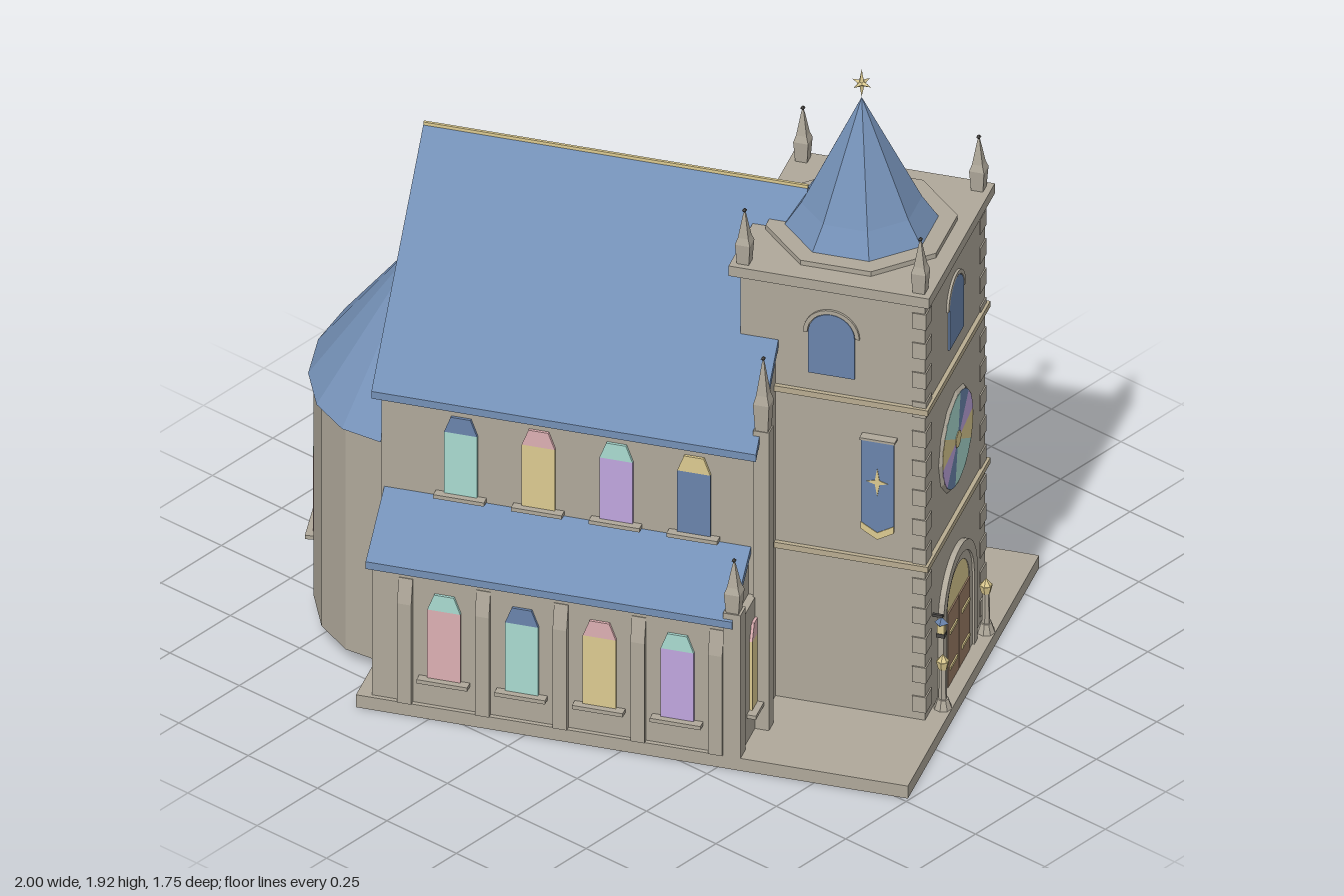
import * as THREE from 'three';

const mat = (name, color) => {
  const m = new THREE.MeshStandardMaterial({ color });
  m.name = name;
  return m;
};

export function createModel() {
  const stone = mat('stone', 0xafa89a), trim = mat('paleStone', 0xb8ac90), slate = mat('slateBlue', 0x7490b6);
  const pink = mat('pinkGlass', 0xdcafb2), teal = mat('tealGlass', 0xa9dad0), sand = mat('goldenSand', 0xdcca90);
  const purple = mat('purpleGlass', 0xbfa6de), blue = mat('blueGlass', 0x6a84ac);
  const wood = mat('doorWood', 0x9a7c65), iron = mat('darkIron', 0x4a4845);
  const headOf = new Map([[pink, teal], [teal, blue], [sand, pink], [purple, teal], [blue, sand]]);

  const model = new THREE.Group();
  model.name = 'church';
  // Nave axis runs along local x, turned about the vertical
  const church = new THREE.Group();
  church.name = 'churchBody';
  church.rotation.y = THREE.MathUtils.degToRad(24);
  church.position.set(0.004, 0, 0.011);
  model.add(church);

  const add = (parent, name, geo, m, x = 0, y = 0, z = 0) => {
    const mesh = new THREE.Mesh(geo, m);
    mesh.name = name;
    mesh.position.set(x, y, z);
    parent.add(mesh);
    return mesh;
  };
  const flat = (g) => {
    const f = g.index ? g.toNonIndexed() : g;
    f.computeVertexNormals();
    return f;
  };
  // Box from minimum and maximum corners
  const block = (parent, name, m, x0, x1, y0, y1, z0, z1) =>
    add(parent, name, new THREE.BoxGeometry(x1 - x0, y1 - y0, z1 - z0), m, (x0 + x1) / 2, (y0 + y1) / 2, (z0 + z1) / 2);
  const poly = (pts) => new THREE.Shape(pts.map(([x, y]) => new THREE.Vector2(x, y)));
  const extrude = (shape, depth) => new THREE.ExtrudeGeometry(shape, { depth, bevelEnabled: false, curveSegments: 8 });
  // Cross-section of [z, y] points run along x
  const prism = (name, m, pts, x0, x1) => {
    const g = extrude(poly(pts.map(([z, y]) => [-z, y])), x1 - x0);
    g.rotateY(Math.PI / 2);
    return add(church, name, g, m, x0);
  };
  const panel = (name, x, y, z, turn) => {
    const g = new THREE.Group();
    g.name = name;
    g.position.set(x, y, z);
    g.rotation.y = turn;
    church.add(g);
    return g;
  };
  // Round-headed outline: half width r, springing height h
  const archInto = (p, r, h) => {
    p.moveTo(-r, 0);
    p.lineTo(r, 0);
    p.lineTo(r, h);
    p.absarc(0, h, r, 0, Math.PI, false);
    p.lineTo(-r, 0);
    return p;
  };
  const archFrame = (r, h, t, depth) => {
    const s = archInto(new THREE.Shape(), r + t, h);
    s.holes.push(archInto(new THREE.Path(), r, h));
    return extrude(s, depth);
  };

  // Stained window with a cut-corner head and a sill
  function glassWindow(x, y, z, turn, h, glass) {
    const g = panel('window', x, y, z, turn), r = 0.047, k = h - 0.05;
    add(g, 'windowGlass', extrude(poly([[-r, 0], [r, 0], [r, k], [-r, k]]), 0.008), glass);
    add(g, 'windowHead', extrude(poly([[-r, k], [r, k], [0.028, h], [-0.028, h]]), 0.008), headOf.get(glass));
    block(g, 'windowSill', stone, -0.072, 0.072, -0.012, 0, 0, 0.026);
  }

  function pinnacle(x, y, z, h, r = 0.03) {
    const g = panel('pinnacle', x, y, z, Math.PI / 4);
    const profile = [[0, 0], [r * 0.8, 0], [r, h * 0.38], [r * 0.7, h * 0.5], [0.005, h * 0.93], [0, h]];
    add(g, 'pinnacleSpike', flat(new THREE.LatheGeometry(profile.map(([a, b]) => new THREE.Vector2(a, b)), 4)), stone);
    add(g, 'pinnacleBall', new THREE.OctahedronGeometry(0.008), iron, 0, h, 0);
  }

  const starShape = (rx, ry) => poly([[rx, 0], [rx * 0.22, rx * 0.22], [0, ry], [-rx * 0.22, rx * 0.22],
    [-rx, 0], [-rx * 0.22, -rx * 0.22], [0, -ry], [rx * 0.22, -rx * 0.22]]);

  // Ground slab
  block(church, 'base', stone, -0.756, 0.813, 0, 0.04, -0.608, 0.608);

  // Nave, its closed front gable and the roof, open at the apse end
  block(church, 'nave', stone, -0.735, 0.335, 0.04, 0.95, -0.44, 0.44);
  prism('naveFrontGable', stone, [[-0.44, 0.94], [0.44, 0.94], [0.44, 0.965], [0, 1.485], [-0.44, 0.965]], 0.22, 0.335);
  prism('naveRoof', slate, [[-0.485, 0.945], [-0.485, 0.922], [0, 1.485], [0.485, 0.922], [0.485, 0.945], [0, 1.515]], -0.75, 0.343);
  block(church, 'ridgeCap', sand, -0.75, 0.343, 1.508, 1.52, -0.004, 0.004);

  // Apse: half of a sixteen-sided drum, flattened along the axis
  const halfRound = (name, m, top, h, rx, rz, y) => {
    const g = new THREE.CylinderGeometry(top, 1, h, 8, 1, false, Math.PI, Math.PI);
    g.scale(rx, 1, rz);
    add(church, name, flat(g), m, -0.735, y, 0);
  };
  halfRound('apseWall', stone, 1, 0.72, 0.3, 0.43, 0.4);
  halfRound('apseRoof', slate, 0, 0.41, 0.315, 0.447, 0.965);
  glassWindow(-1.024, 0.225, 0.082, -Math.PI / 2 + 0.138, 0.3, pink);

  // Aisles, windows and buttresses on both sides
  const aisleGlass = { 1: [pink, teal, sand, purple], [-1]: [teal, sand, pink, purple] };
  const upperGlass = { 1: [teal, sand, purple, blue], [-1]: [blue, pink, teal, sand] };
  for (const s of [1, -1]) {
    const turn = s > 0 ? 0 : Math.PI;
    const span = (a, b) => (s > 0 ? [a, b] : [-b, -a]);
    block(church, 'aisle', stone, -0.715, 0.33, 0.04, 0.463, ...span(0.4, 0.595));
    prism('aisleGable', stone, [[0.43 * s, 0.46], [0.592 * s, 0.46], [0.43 * s, 0.595]], -0.712, 0.308);
    prism('aisleRoof', slate, [[0.43 * s, 0.624], [0.613 * s, 0.478], [0.613 * s, 0.455], [0.43 * s, 0.6]], -0.727, 0.315);
    for (let i = 0; i < 4; i++) {
      const x = -0.508 + 0.221 * i;
      glassWindow(x, 0.13, 0.595 * s, turn, 0.27, aisleGlass[s][i]);
      glassWindow(x, 0.632, 0.44 * s, turn, 0.247, upperGlass[s][i]);
    }
    for (let i = 0; i < 5; i++) {
      const x = -0.618 + 0.221 * i;
      prism('buttress', stone, [[0.58 * s, 0.04], [0.612 * s, 0.04], [0.612 * s, 0.36], [0.597 * s, 0.435], [0.58 * s, 0.435]], x - 0.02, x + 0.02);
    }
    glassWindow(0.33, 0.13, 0.455 * s, Math.PI / 2, 0.27, s > 0 ? sand : pink);
    // Corner piers with spikes
    block(church, 'navePier', stone, 0.325, 0.37, 0.04, 1, ...span(0.41, 0.452));
    pinnacle(0.348, 1, 0.432 * s, 0.225, 0.032);
    block(church, 'aislePier', stone, 0.287, 0.337, 0.04, 0.5, ...span(0.56, 0.608));
    pinnacle(0.312, 0.5, 0.585 * s, 0.16, 0.032);
  }

  // Tower shaft, string courses and cornice
  const cx = 0.495;
  block(church, 'tower', stone, 0.235, 0.76, 0.04, 1.39, -0.277, 0.277);
  for (const y of [0.525, 1.03]) block(church, 'stringCourse', trim, 0.222, 0.772, y, y + 0.018, -0.29, 0.29);
  block(church, 'towerCornice', stone, 0.21, 0.78, 1.388, 1.42, -0.305, 0.305);
  for (const sx of [-1, 1]) for (const sz of [-1, 1]) pinnacle(cx + 0.25 * sx, 1.42, 0.27 * sz, 0.165);
  // Corner stones on the front edges
  for (const s of [-1, 1]) for (let y = 0.09; y < 1.36; y += 0.095)
    add(church, 'quoin', new THREE.BoxGeometry(0.04, 0.05, 0.055), stone, 0.744, y, 0.2535 * s);

  // Spire with flared foot and star finial
  const eighth = Math.PI / 8;
  add(church, 'spirePlinth', flat(new THREE.CylinderGeometry(0.262, 0.262, 0.02, 8)), stone, cx, 1.425, 0).rotation.y = eighth;
  add(church, 'spire', flat(new THREE.LatheGeometry(
    [[0, 0], [0.212, 0], [0.165, 0.07], [0, 0.4]].map(([a, b]) => new THREE.Vector2(a, b)), 8)), slate, cx, 1.432, 0).rotation.y = eighth;
  const star = panel('starFinial', cx, 1.877, 0, -church.rotation.y);
  [[0.01, 0.044, 0.01], [0.034, 0.01, 0.01], [0.01, 0.01, 0.034]].forEach(([a, b, c]) => {
    const g = new THREE.OctahedronGeometry(1);
    g.scale(a, b, c);
    add(star, 'starSpike', flat(g), sand);
  });

  // Belfry openings on all four faces
  for (const [x, z, turn] of [[0.76, 0, Math.PI / 2], [0.235, 0, -Math.PI / 2], [cx, 0.277, 0], [cx, -0.277, Math.PI]]) {
    const g = panel('belfryOpening', x, 1.105, z, turn);
    add(g, 'belfryGlass', extrude(archInto(new THREE.Shape(), 0.066, 0.13), 0.006), blue);
    const hood = new THREE.Shape();
    hood.absarc(0, 0.13, 0.08, 0, Math.PI, false);
    hood.absarc(0, 0.13, 0.068, Math.PI, 0, true);
    add(g, 'belfryHood', extrude(hood, 0.007), stone);
  }

  // Hanging banners on the tower flanks
  for (const s of [1, -1]) {
    const g = panel('banner', 0.632, 0.615, 0.295 * s, s > 0 ? 0 : Math.PI);
    const w = 0.047;
    add(g, 'bannerCloth', extrude(poly([[-w, 0.04], [0, 0.012], [w, 0.04], [w, 0.315], [-w, 0.315]]), 0.007), blue);
    add(g, 'bannerTrim', extrude(poly([[-w, 0.028], [0, 0], [w, 0.028], [w, 0.05], [0, 0.022], [-w, 0.05]]), 0.009), sand);
    add(g, 'bannerStar', extrude(starShape(0.03, 0.044), 0.009), sand, 0, 0.184, 0);
    block(g, 'bannerRod', stone, -0.05, 0.05, 0.314, 0.321, -0.018, 0.01);
  }

  // Rose window: four colours repeated on opposite sides
  const rose = panel('roseWindow', 0.76, 0.78, 0, Math.PI / 2);
  const bounds = [-30, 8, 45, 80, 150];
  [sand, purple, blue, teal].forEach((glass, i) => {
    for (const half of [0, 180]) {
      const pts = [[0, 0]];
      for (let j = 0; j <= 4; j++) {
        const a = THREE.MathUtils.degToRad(half + bounds[i] + ((bounds[i + 1] - bounds[i]) * j) / 4);
        pts.push([0.14 * Math.cos(a), 0.14 * Math.sin(a)]);
      }
      add(rose, 'rosePetal', extrude(poly(pts), 0.009), glass);
    }
  });
  add(rose, 'roseFrame', flat(new THREE.TorusGeometry(0.143, 0.009, 4, 12)), stone);
  add(rose, 'roseHub', new THREE.CylinderGeometry(0.025, 0.025, 0.022, 8).rotateX(Math.PI / 2), sand);

  // Portal with stepped arch, double doors and tympanum
  const portal = panel('portal', 0.76, 0.04, 0, Math.PI / 2);
  add(portal, 'outerArch', archFrame(0.128, 0.235, 0.03, 0.016), stone);
  add(portal, 'innerArch', archFrame(0.102, 0.235, 0.026, 0.01), stone);
  const lunette = new THREE.Shape();
  lunette.absarc(0, 0, 0.102, 0, Math.PI, false);
  add(portal, 'tympanum', extrude(lunette, 0.008), sand, 0, 0.235, 0);
  for (const s of [-1, 1]) {
    add(portal, 'doorLeaf', new THREE.BoxGeometry(0.1, 0.235, 0.016), wood, 0.052 * s, 0.1175, 0.004);
    for (const y of [0.055, 0.17]) add(portal, 'doorHinge', new THREE.BoxGeometry(0.068, 0.01, 0.006), sand, 0.056 * s, y, 0.013);
    // Lamp posts either side of the door
    const post = panel('lampPost', 0.787, 0.04, 0.2 * s, 0);
    add(post, 'postFoot', flat(new THREE.CylinderGeometry(0.016, 0.026, 0.03, 8)), stone, 0, 0.015, 0);
    add(post, 'postStem', flat(new THREE.CylinderGeometry(0.01, 0.012, 0.1, 6)), stone, 0, 0.08, 0);
    add(post, 'postLamp', flat(new THREE.CylinderGeometry(0.019, 0.013, 0.025, 6)), sand, 0, 0.138, 0);
    add(post, 'postCap', flat(new THREE.ConeGeometry(0.017, 0.022, 6)), sand, 0, 0.161, 0);
  }

  // Wall lantern beside the door
  const lantern = panel('wallLantern', 0.785, 0.265, 0.205, 0);
  add(lantern, 'lanternGlass', new THREE.BoxGeometry(0.02, 0.03, 0.02), sand, 0, 0.035, 0);
  add(lantern, 'lanternFoot', new THREE.BoxGeometry(0.024, 0.012, 0.024), iron, 0, 0.014, 0);
  add(lantern, 'lanternRoof', flat(new THREE.ConeGeometry(0.02, 0.02, 4)), blue, 0, 0.06, 0);
  block(lantern, 'lanternBracket', iron, -0.03, 0.004, 0.068, 0.076, -0.004, 0.004);

  return model;
}
